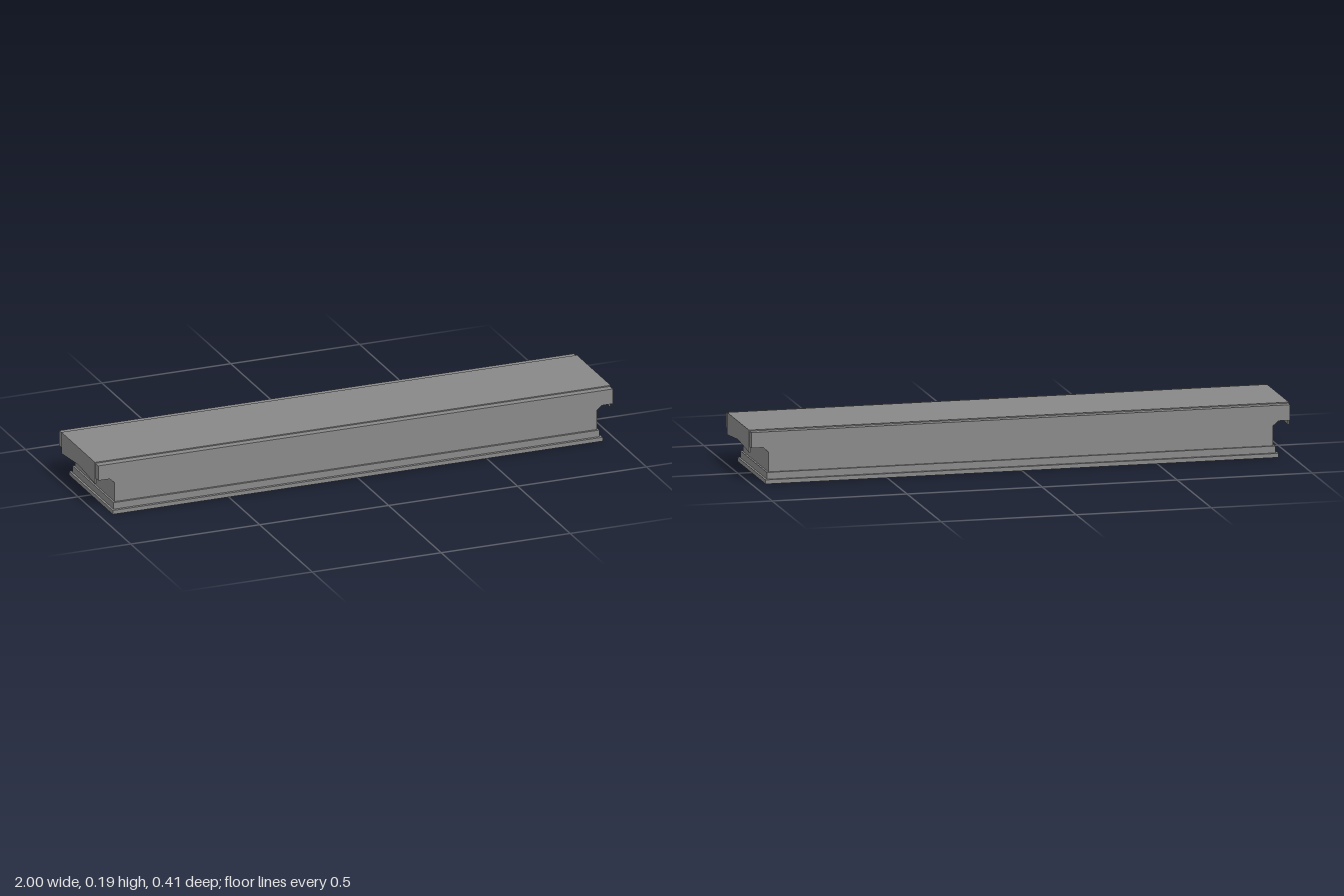
import * as THREE from 'three';

const material = new THREE.MeshStandardMaterial({ color: 0x888888, flatShading: true });

function add(group, name, geometry, x = 0, y = 0, z = 0) {
  const mesh = new THREE.Mesh(geometry, material);
  mesh.name = name;
  mesh.position.set(x, y, z);
  group.add(mesh);
}

const shapeOf = (pts) => new THREE.Shape(pts.map(([x, y]) => new THREE.Vector2(x, y)));
const extrude = (shape, depth) => new THREE.ExtrudeGeometry(shape, { depth, bevelEnabled: false });

// Mirror a right-hand half profile into a full left-to-right path
const mirrored = (half) => [...half, ...half.map(([x, y]) => [-x, y]).reverse()];

// Rectangular ring lying flat, open in the middle
function frame(halfX, halfZ, holeX, holeZ, height) {
  const rect = (a, b) => [[-a, -b], [a, -b], [a, b], [-a, b]];
  const shape = shapeOf(rect(halfX, halfZ));
  shape.holes.push(shapeOf(rect(holeX, holeZ)));
  return extrude(shape, height).rotateX(-Math.PI / 2);
}

export function createModel() {
  const group = new THREE.Group();
  group.name = 'hollowCapBlock';

  const halfX = 0.935, halfZ = 0.187, wall = 0.006;

  // Side profile: upright end, chamfered shoulder, overhanging head
  const outer = [[halfX, 0.035], [halfX, 0.113], [0.954, 0.13], [0.998, 0.13], [0.998, 0.187]];
  const inner = [[halfX - wall, 0.035], [halfX - wall, 0.118], [0.95, 0.137], [0.99, 0.137], [0.99, 0.178]];

  // Top and both ends as one bent shell
  const shell = shapeOf([...mirrored(outer), ...mirrored(inner).reverse()]);
  const innerZ = halfZ - wall;
  add(group, 'topAndEnds', extrude(shell, innerZ * 2), 0, 0, -innerZ);

  // Long side walls
  const sideGeometry = extrude(shapeOf(mirrored(outer)), wall);
  add(group, 'frontWall', sideGeometry, 0, 0, innerZ);
  add(group, 'backWall', sideGeometry, 0, 0, -halfZ);

  // Thin stepped base moulding: each step is an upright skirt with a ledge on top
  const steps = [
    { name: 'lowerBase', x: 0.95, z: 0.207, bottom: 0, top: 0.015, ledgeX: 0.936, ledgeZ: 0.19 },
    { name: 'upperBase', x: 0.942, z: 0.196, bottom: 0.009, top: 0.04, ledgeX: halfX - wall, ledgeZ: innerZ },
  ];
  for (const s of steps) {
    add(group, s.name + 'Skirt', frame(s.x, s.z, s.x - wall, s.z - wall, s.top - s.bottom), 0, s.bottom);
    add(group, s.name + 'Ledge', frame(s.x - 0.001, s.z - 0.001, s.ledgeX, s.ledgeZ, wall), 0, s.top - wall);
  }

  // Slightly raised top panel
  add(group, 'topPanel', new THREE.BoxGeometry(1.998, 0.006, 0.32), 0, 0.188);

  // End aprons with a shallow peaked lower edge
  const apron = shapeOf([[-0.16, 0.109], [0, 0.124], [0.16, 0.109], [0.16, 0.191], [-0.16, 0.191]]);
  const apronGeometry = extrude(apron, 0.006).rotateY(Math.PI / 2);
  add(group, 'leftApron', apronGeometry, 0.994);
  add(group, 'rightApron', apronGeometry, -1);

  return group;
}
